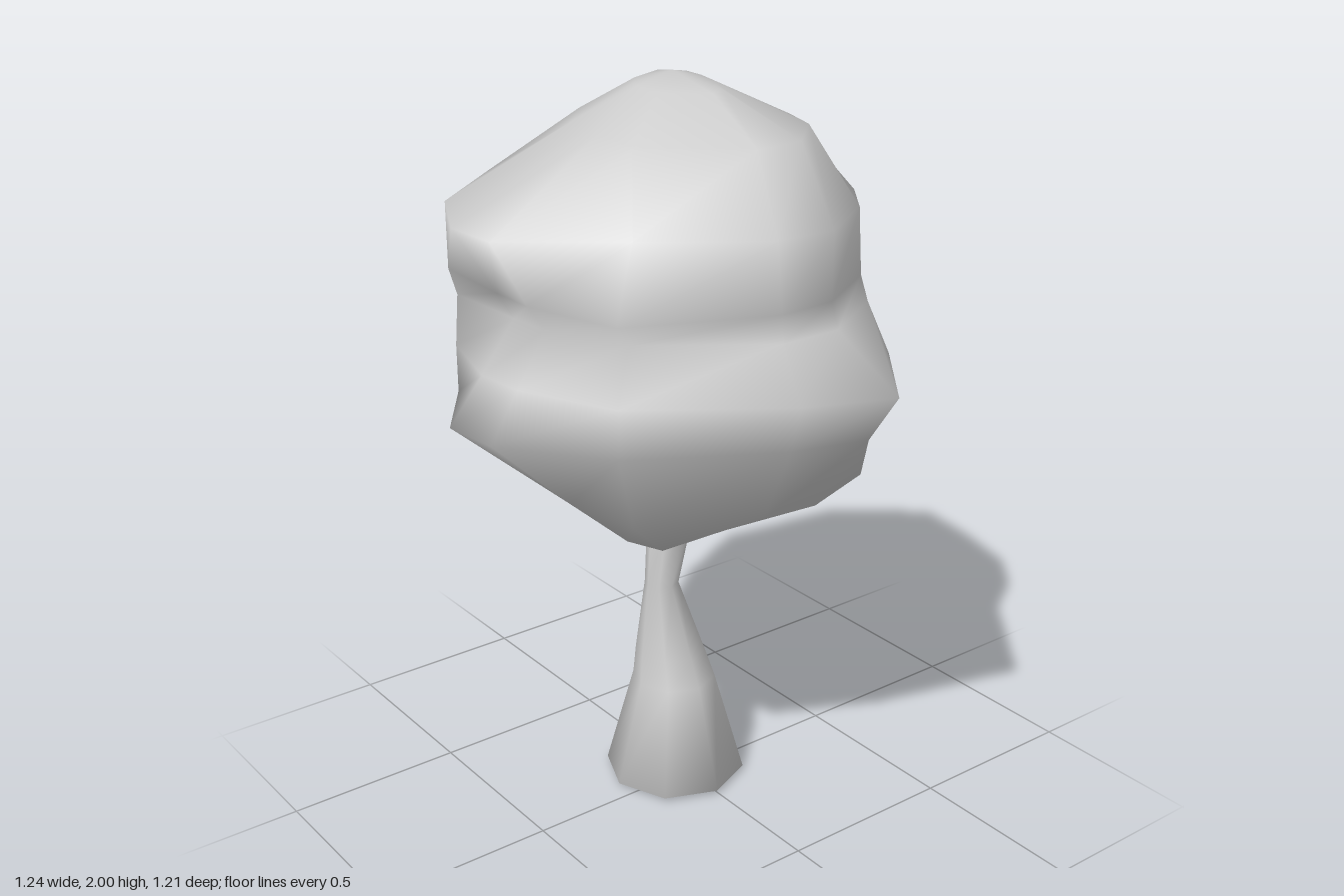
import * as THREE from 'three';

// Closed smooth skin over rings of points (listed bottom to top), with a pole at each end
function skin(name, rings, bottom, top, material) {
  const n = rings[0].length;
  const points = [...rings.flat(), bottom, top];
  const low = points.length - 2, high = points.length - 1;
  const index = [];
  for (let j = 0; j < n; j++) {
    const k = (j + 1) % n;
    index.push(low, j, k);
    for (let i = 0; i < rings.length - 1; i++) {
      const a = i * n + j, b = i * n + k;
      index.push(a, a + n, b, b, a + n, b + n);
    }
    const last = (rings.length - 1) * n;
    index.push(last + j, high, last + k);
  }
  const geometry = new THREE.BufferGeometry();
  geometry.setAttribute('position', new THREE.Float32BufferAttribute(points.flat(), 3));
  geometry.setIndex(index);
  geometry.computeVertexNormals();
  const mesh = new THREE.Mesh(geometry, material);
  mesh.name = name;
  return mesh;
}

// Point at a compass angle (degrees from +x towards +z) around a centre
function polar(deg, r, y, cx, cz) {
  const a = THREE.MathUtils.degToRad(deg);
  return [cx + r * Math.cos(a), y, cz + r * Math.sin(a)];
}

export function createModel() {
  const material = new THREE.MeshStandardMaterial({ color: 0xcccccc });
  const tree = new THREE.Group();
  tree.name = 'tree';

  // Trunk: flared foot, narrow waist, bent top hidden in the crown [y, radius, x, z]
  const trunkSections = [
    [0.01, 0.2, -0.005, -0.05],
    [0.3, 0.118, 0, -0.06],
    [0.38, 0.1, -0.005, -0.07],
    [0.59, 0.048, -0.02, -0.09],
    [0.79, 0.064, 0.005, -0.083],
    [0.86, 0.045, 0.05, -0.06],
  ];
  const trunkRings = trunkSections.map(([y, r, x, z]) =>
    Array.from({ length: 8 }, (_, j) => polar(j * 45, r, y, x, z)));
  tree.add(skin('trunk', trunkRings, [0, 0, -0.05], [0.07, 0.87, -0.05], material));

  // Crown: two lumpy masses with a pinched waist [y, x, z, radii at the fixed angles]
  const angles = [-21, 20, 42, 73, 95, 147, 180, 195, 219, 250, 291, 316];
  const crownSections = [
    [0.80, 0, 0, [0.10, 0.10, 0.11, 0.10, 0.10, 0.19, 0.20, 0.20, 0.18, 0.14, 0.12, 0.11]],
    [0.96, 0, 0, [0.63, 0.47, 0.47, 0.41, 0.37, 0.40, 0.38, 0.39, 0.41, 0.40, 0.48, 0.56]],
    [1.18, 0, 0, [0.66, 0.52, 0.51, 0.56, 0.48, 0.49, 0.61, 0.65, 0.61, 0.57, 0.58, 0.64]],
    [1.31, 0, 0, [0.66, 0.53, 0.53, 0.64, 0.52, 0.49, 0.53, 0.56, 0.61, 0.63, 0.63, 0.64]],
    [1.45, 0, 0, [0.45, 0.46, 0.47, 0.46, 0.44, 0.41, 0.44, 0.47, 0.60, 0.63, 0.59, 0.56]],
    [1.52, 0, 0, [0.59, 0.47, 0.45, 0.44, 0.43, 0.49, 0.49, 0.51, 0.62, 0.64, 0.60, 0.59]],
    [1.70, 0, 0, [0.48, 0.46, 0.44, 0.44, 0.41, 0.38, 0.59, 0.62, 0.62, 0.64, 0.59, 0.54]],
    [1.88, 0.06, -0.12, [0.34, 0.31, 0.34, 0.38, 0.37, 0.32, 0.25, 0.24, 0.27, 0.31, 0.33, 0.31]],
    [1.98, 0.06, -0.12, [0.12, 0.10, 0.10, 0.14, 0.17, 0.14, 0.11, 0.11, 0.11, 0.13, 0.18, 0.16]],
  ];
  const crownRings = crownSections.map(([y, x, z, radii]) =>
    radii.map((r, j) => polar(angles[j], r, y, x, z)));
  tree.add(skin('crown', crownRings, [-0.04, 0.77, -0.03], [0.09, 2, -0.18], material));

  return tree;
}
